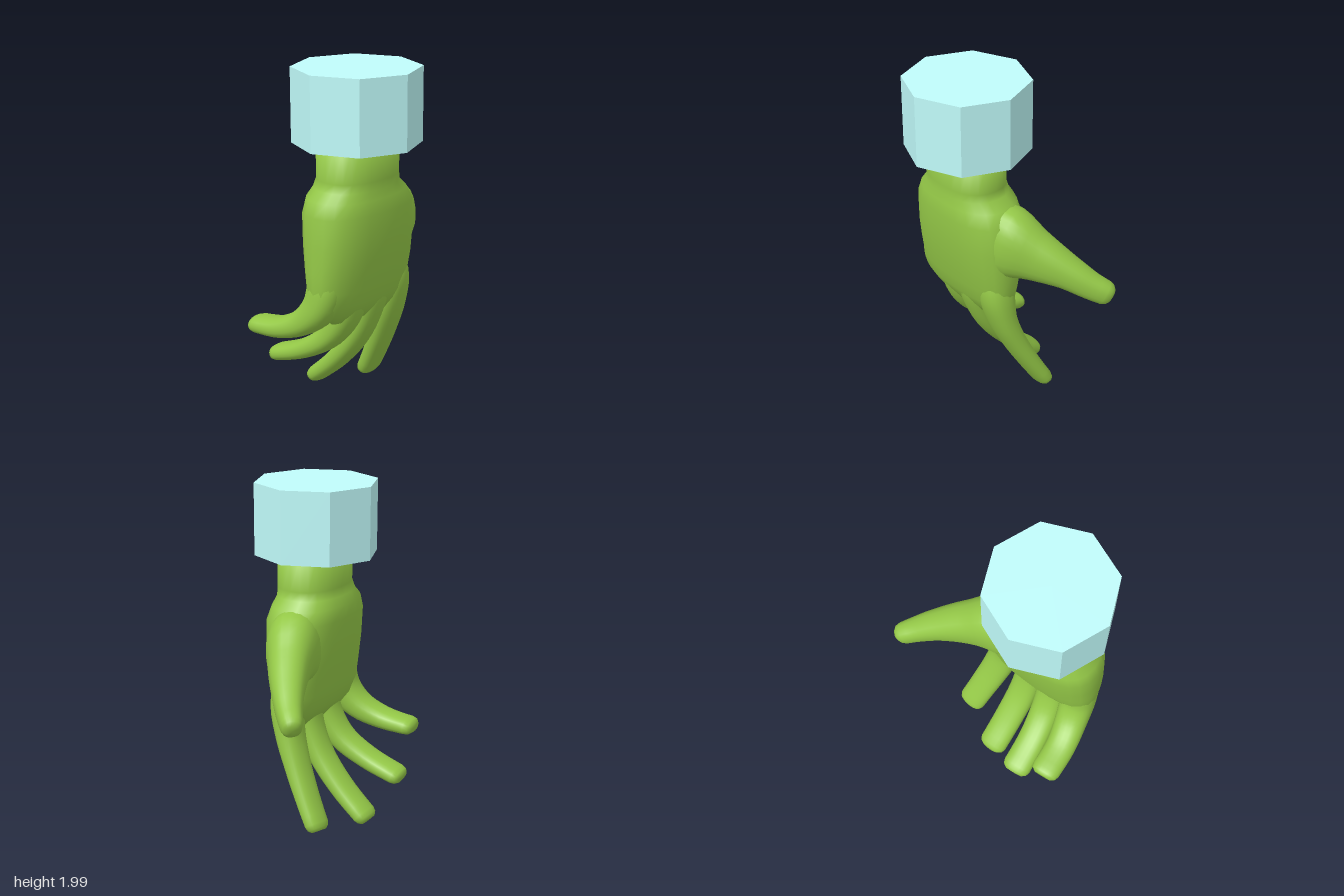
import * as THREE from 'three';

const V = (x, y, z) => new THREE.Vector3(x, y, z);
const SIDES = 24;

// Closed, smooth skin over rings given as centre c, half-axes u and v, and squareness e
function loft(rings) {
  const pos = [], idx = [];
  for (const { c, u, v, e } of rings) {
    for (let j = 0; j < SIDES; j++) {
      const a = (j / SIDES) * Math.PI * 2;
      const bend = (t) => Math.sign(t) * Math.pow(Math.abs(t), 2 / e);
      const p = c.clone().addScaledVector(u, bend(Math.cos(a))).addScaledVector(v, bend(Math.sin(a)));
      pos.push(p.x, p.y, p.z);
    }
  }
  const n = rings.length, first = n * SIDES, last = first + 1;
  pos.push(...rings[0].c.toArray(), ...rings[n - 1].c.toArray());
  for (let j = 0; j < SIDES; j++) {
    const k = (j + 1) % SIDES;
    for (let i = 0; i < n - 1; i++) {
      const a = i * SIDES, b = a + SIDES;
      idx.push(a + j, a + k, b + k, a + j, b + k, b + j);
    }
    const end = (n - 1) * SIDES;
    idx.push(first, k, j, last, end + j, end + k);
  }
  const geo = new THREE.BufferGeometry();
  geo.setAttribute('position', new THREE.Float32BufferAttribute(pos, 3));
  geo.setIndex(idx);
  geo.computeVertexNormals();
  return geo;
}

// Digit along a curve; each row is [x, y, z, half width along side, half thickness]
function digit(rows, side) {
  const curve = new THREE.CatmullRomCurve3(rows.map((r) => V(r[0], r[1], r[2])));
  const sizes = new THREE.CatmullRomCurve3(rows.map((r) => V(r[3], r[4], 0)));
  const rings = [], steps = 18, round = 0.045 / curve.getLength();
  const add = (s, scale) => {
    const t = curve.getUtoTmapping(s);
    const T = curve.getTangent(t), size = sizes.getPoint(t);
    const W = side.clone().addScaledVector(T, -T.dot(side)).normalize();
    const N = T.clone().cross(W);
    rings.push({
      c: curve.getPoint(t), e: 2.3,
      u: W.multiplyScalar(size.x * scale), v: N.multiplyScalar(size.y * scale),
    });
  };
  for (let i = 0; i <= steps; i++) add((i / steps) * (1 - round), 1);
  add(1 - round * 0.4, 0.9);
  add(1, 0.62);
  return loft(rings);
}

export function createModel() {
  const group = new THREE.Group();
  const skin = new THREE.MeshStandardMaterial({ color: 0x94c847 });
  const cloth = new THREE.MeshStandardMaterial({ color: 0xc0fbfa, flatShading: true });
  const part = (name, geo, mat) => {
    const mesh = new THREE.Mesh(geo, mat);
    mesh.name = name;
    group.add(mesh);
    return mesh;
  };

  // Octagonal sleeve cuff
  part('cuff', new THREE.CylinderGeometry(0.361, 0.361, 0.42, 8), cloth).position.set(0.08, 1.79, 0.2);

  // Wrist and palm: [y, x min, x max, z min, z max, squareness]
  const palm = [
    [1.60, -0.09, 0.27, -0.05, 0.46, 2.4],
    [1.40, -0.09, 0.27, -0.05, 0.46, 2.4],
    [1.35, -0.105, 0.27, -0.06, 0.475, 2.4],
    [1.30, -0.125, 0.28, -0.12, 0.525, 2.4],
    [1.22, -0.13, 0.29, -0.165, 0.552, 2.5],
    [1.05, -0.115, 0.28, -0.18, 0.56, 2.5],
    [0.90, -0.09, 0.255, -0.18, 0.563, 2.5],
    [0.78, -0.07, 0.23, -0.17, 0.56, 2.5],
    [0.69, -0.045, 0.205, -0.155, 0.545, 2.5],
    [0.63, -0.005, 0.175, -0.13, 0.49, 2.4],
    [0.57, 0.04, 0.13, -0.08, 0.42, 2.2],
  ];
  part('palm', loft(palm.map(([y, x0, x1, z0, z1, e]) => ({
    c: V((x0 + x1) / 2, y, (z0 + z1) / 2),
    u: V((x1 - x0) / 2, 0, 0), v: V(0, 0, (z1 - z0) / 2), e,
  }))), skin);

  // Four fingers fanning out and curling toward the palm side
  const fingers = {
    indexFinger: [
      [0.09, 0.92, -0.03, 0.08, 0.08], [0.1, 0.74, -0.065, 0.1, 0.1],
      [0.075, 0.56, -0.083, 0.1, 0.077], [0.005, 0.38, -0.11, 0.093, 0.064],
      [-0.088, 0.2, -0.143, 0.088, 0.056], [-0.188, 0.03, -0.175, 0.085, 0.05],
    ],
    middleFinger: [
      [0.09, 0.92, 0.115, 0.1, 0.08], [0.105, 0.74, 0.115, 0.11, 0.1],
      [0.072, 0.56, 0.115, 0.095, 0.08], [-0.015, 0.375, 0.115, 0.09, 0.066],
      [-0.165, 0.195, 0.113, 0.089, 0.058], [-0.352, 0.032, 0.112, 0.089, 0.05],
    ],
    ringFinger: [
      [0.09, 0.92, 0.28, 0.1, 0.08], [0.1, 0.75, 0.28, 0.11, 0.1],
      [0.06, 0.58, 0.288, 0.1, 0.087], [-0.04, 0.43, 0.307, 0.092, 0.07],
      [-0.205, 0.32, 0.335, 0.089, 0.058], [-0.437, 0.235, 0.355, 0.089, 0.048],
    ],
    littleFinger: [
      [0.09, 0.96, 0.42, 0.1, 0.1], [0.085, 0.81, 0.445, 0.11, 0.11],
      [0.05, 0.685, 0.465, 0.105, 0.1], [-0.045, 0.58, 0.492, 0.097, 0.08],
      [-0.19, 0.515, 0.527, 0.09, 0.062], [-0.408, 0.49, 0.545, 0.087, 0.048],
    ],
  };
  for (const [name, rows] of Object.entries(fingers)) part(name, digit(rows, V(0, 0, 1)), skin);

  // Thumb reaching back and down, tall where it leaves the palm
  part('thumb', digit([
    [0.075, 1.09, 0.12, 0.18, 0.12], [0.045, 1.08, -0.08, 0.228, 0.155],
    [-0.035, 1.025, -0.25, 0.155, 0.122], [-0.135, 0.948, -0.41, 0.1, 0.093],
    [-0.215, 0.875, -0.515, 0.08, 0.074], [-0.298, 0.815, -0.605, 0.068, 0.058],
  ], V(0, 1, 0)), skin);

  return group;
}
